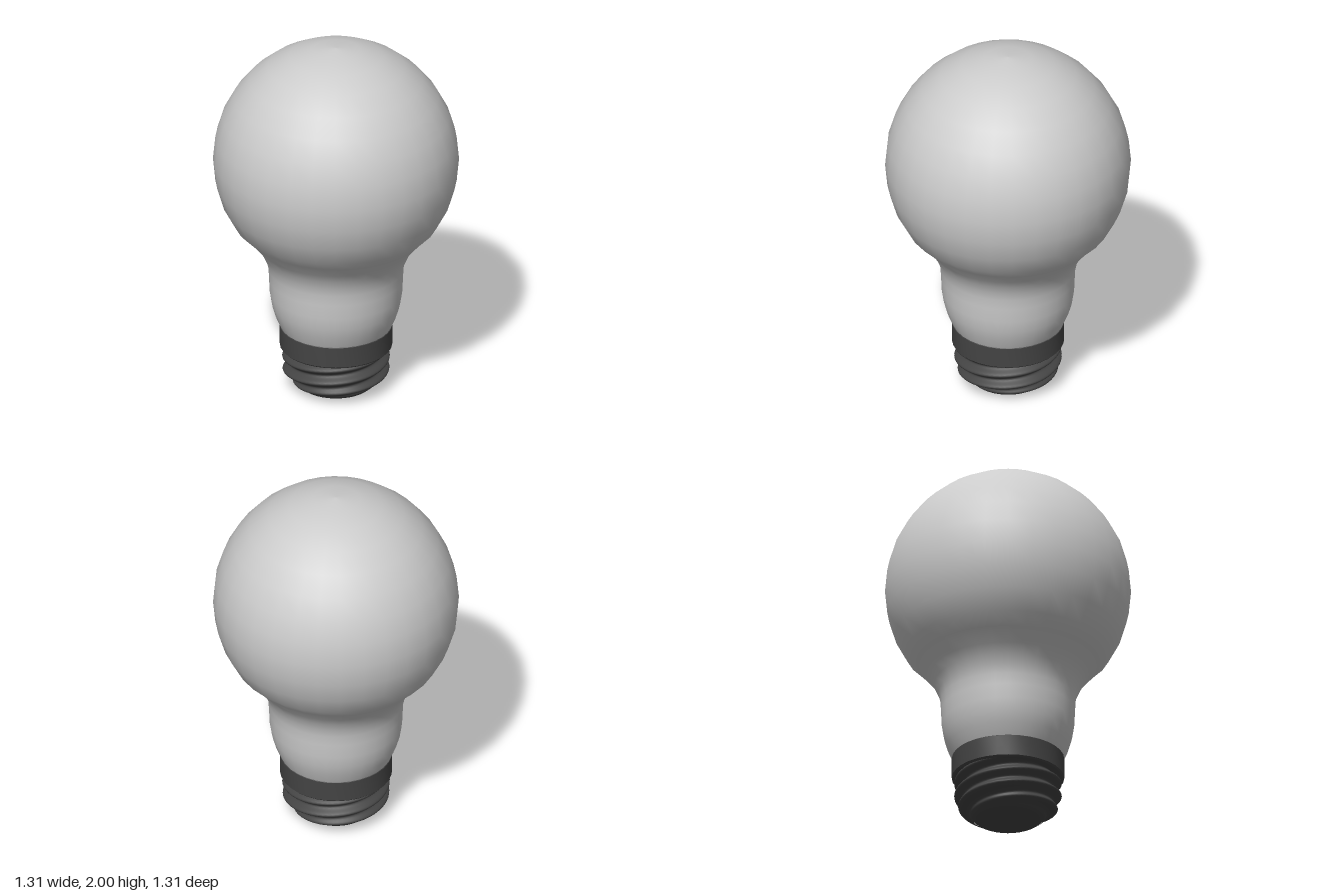
import * as THREE from 'three';
import { mergeVertices, toCreasedNormals } from 'three/addons/utils/BufferGeometryUtils.js';

const SEGMENTS = 32;
const glass = new THREE.MeshStandardMaterial({ color: 0xcccccc });
const dark = new THREE.MeshStandardMaterial({ color: 0x444444 });

const toPoints = (pairs) => pairs.map(([r, y]) => new THREE.Vector2(r, y));

function addPart(group, name, geometry, material) {
  const mesh = new THREE.Mesh(geometry, material);
  mesh.name = name;
  group.add(mesh);
}

// Glass envelope: curved neck flowing into a round globe
function bulbGeometry() {
  const pairs = [
    [0.285, 0.34], [0.3, 0.37], [0.325, 0.43], [0.343, 0.49], [0.354, 0.56],
    [0.357, 0.64], [0.361, 0.7], [0.372, 0.75], [0.394, 0.8], [0.425, 0.85], [0.485, 0.92],
  ];
  const radius = 0.656, centre = 1.344;
  for (let i = -3; i <= 8; i++) {
    const a = (i / 8) * Math.PI / 2;
    pairs.push([i === 8 ? 0 : radius * Math.cos(a), centre + radius * Math.sin(a)]);
  }
  return new THREE.LatheGeometry(toPoints(pairs), SEGMENTS);
}

// Collar: short ring with softly bevelled rims
function collarGeometry() {
  const profile = toPoints([
    [0, 0.24], [0.292, 0.24], [0.3, 0.248], [0.3, 0.362], [0.292, 0.37], [0, 0.37],
  ]);
  return toCreasedNormals(new THREE.LatheGeometry(profile, SEGMENTS), 0.6);
}

// Screw base: tapered lathe whose surface is rippled by a two-start helix
function screwGeometry() {
  const rows = 60, bottom = 0.012, top = 0.25, pitch = 0.075, starts = 2;
  const profile = [];
  for (let i = 0; i <= rows; i++) {
    profile.push(new THREE.Vector2(1, bottom + (top - bottom) * i / rows));
  }
  const geometry = new THREE.LatheGeometry(profile, 64);
  const pos = geometry.attributes.position;
  for (let i = 0; i < pos.count; i++) {
    const x = pos.getX(i), y = pos.getY(i), z = pos.getZ(i);
    const taper = THREE.MathUtils.clamp((y - bottom) / 0.11, 0, 1);
    const core = 0.19 + 0.078 * Math.sin(taper * Math.PI / 2);
    const phase = 2 * Math.PI * y / pitch - starts * Math.atan2(x, z);
    const fade = THREE.MathUtils.smoothstep(y, bottom, 0.06);
    const r = core + 0.019 * fade * Math.cos(phase);
    pos.setXYZ(i, x * r, y, z * r);
  }
  geometry.deleteAttribute('uv');
  geometry.deleteAttribute('normal');
  const welded = mergeVertices(geometry, 1e-5);
  welded.computeVertexNormals();
  return welded;
}

// Contact: flat foot closing the underside
function contactGeometry() {
  const profile = toPoints([[0, 0], [0.165, 0], [0.18, 0.008], [0.2, 0.025], [0, 0.025]]);
  return toCreasedNormals(new THREE.LatheGeometry(profile, SEGMENTS), 0.6);
}

export function createModel() {
  const group = new THREE.Group();
  group.name = 'lightBulb';
  addPart(group, 'glassBulb', bulbGeometry(), glass);
  addPart(group, 'collar', collarGeometry(), dark);
  addPart(group, 'screwBase', screwGeometry(), dark);
  addPart(group, 'contact', contactGeometry(), dark);
  return group;
}
